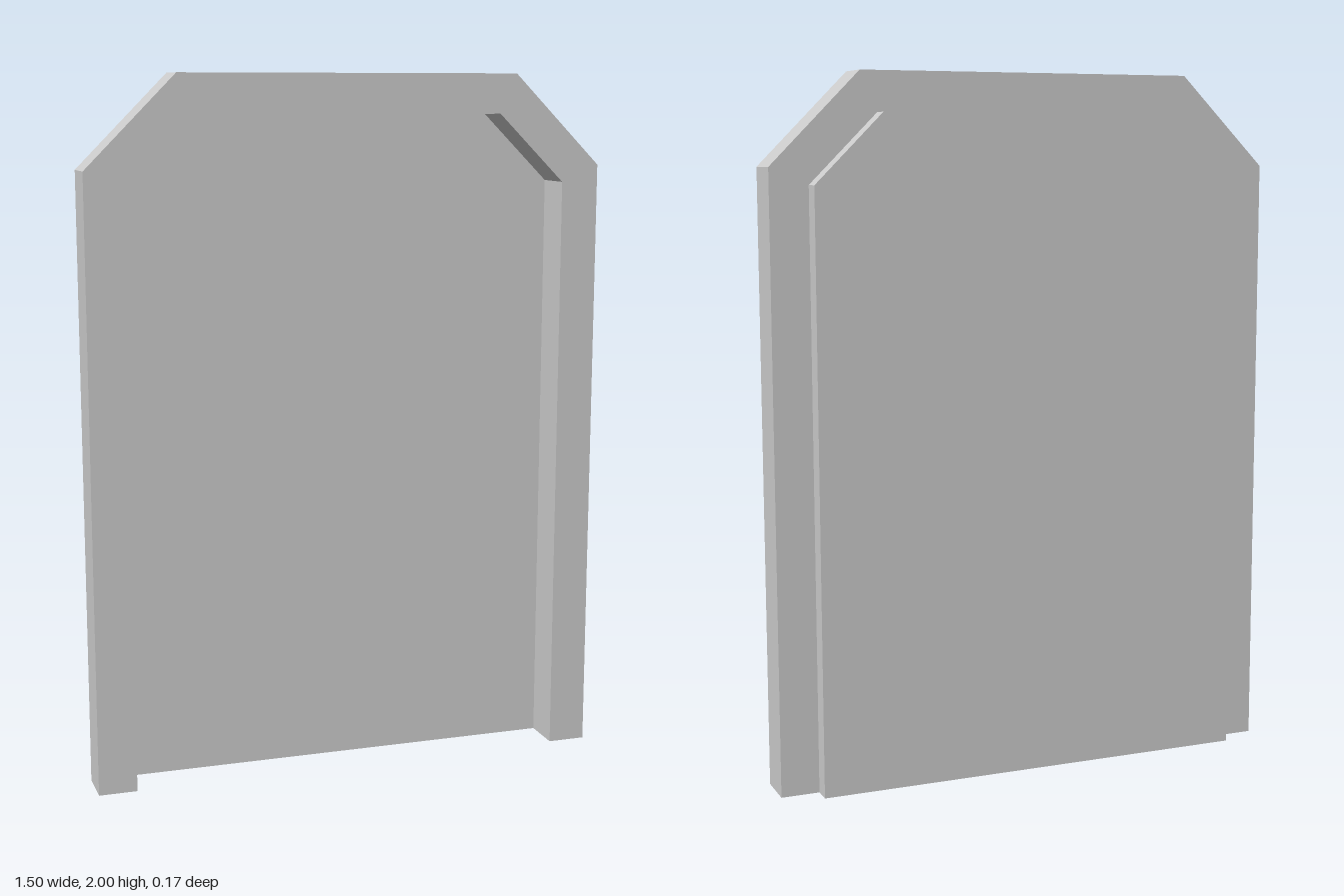
import * as THREE from 'three';

const material = new THREE.MeshStandardMaterial({ color: 0xcccccc, flatShading: true });

// Upright outline with two cut top corners, from bottom left round to bottom right
const outline = (halfWidth, shoulderY, halfTop, topY) => [
  [-halfWidth, 0], [-halfWidth, shoulderY], [-halfTop, topY],
  [halfTop, topY], [halfWidth, shoulderY], [halfWidth, 0],
].map(([x, y]) => new THREE.Vector2(x, y));

// Extrude a closed outline between two depths
function slab(name, points, zBack, zFront) {
  const geometry = new THREE.ExtrudeGeometry(new THREE.Shape(points), {
    depth: zFront - zBack,
    bevelEnabled: false,
  });
  const mesh = new THREE.Mesh(geometry, material);
  mesh.name = name;
  mesh.position.z = zBack;
  return mesh;
}

export function createModel() {
  const outer = outline(0.748, 1.742, 0.491, 2);
  const inner = outline(0.638, 1.694, 0.443, 1.888);
  const back = -0.087, step = -0.034, front = 0.087;

  const group = new THREE.Group();
  group.name = 'doorway';
  // Surround, open at the bottom
  group.add(slab('doorFrame', [...outer, ...inner.slice().reverse()], step, front));
  // Panel set behind the opening
  group.add(slab('doorPanel', inner, back, step));
  return group;
}
